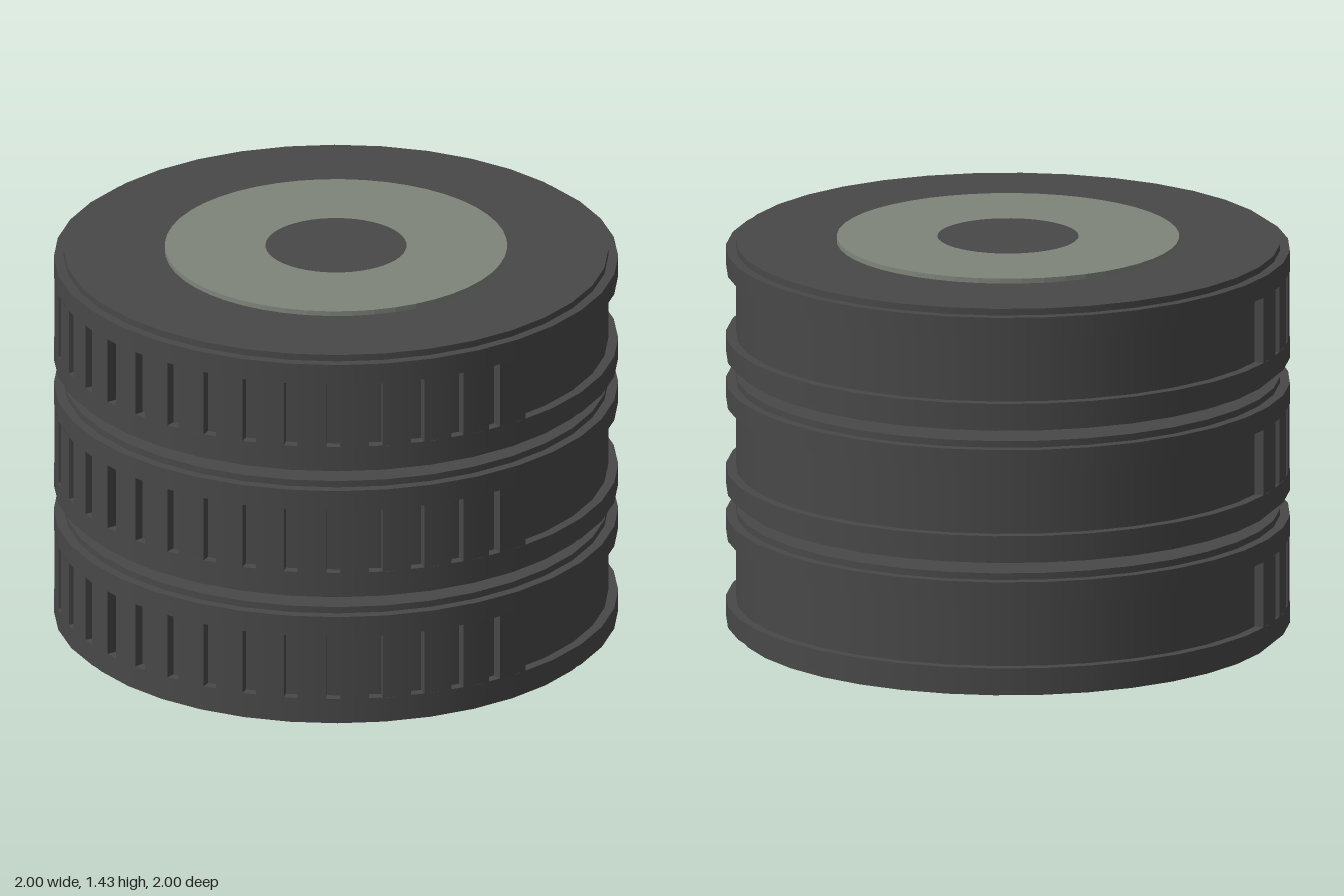
import * as THREE from 'three';

const DEG = Math.PI / 180;
const INNER = 0.965; // body and groove floor radius
const OUTER = 0.998; // grip surface radius

export function createModel() {
  const dark = new THREE.MeshStandardMaterial({ color: 0x484848 });
  dark.name = 'dark rubber';
  const grey = new THREE.MeshStandardMaterial({ color: 0x7f857b });
  grey.name = 'grey green';

  const model = new THREE.Group();
  model.name = 'stackedDials';

  function add(parent, geometry, material, name, y = 0) {
    const mesh = new THREE.Mesh(geometry, material);
    mesh.name = name;
    mesh.position.y = y;
    parent.add(mesh);
    return mesh;
  }

  // Upright disc between two heights
  function drum(parent, radius, y0, y1, name) {
    add(parent, new THREE.CylinderGeometry(radius, radius, y1 - y0, 36), dark, name, (y0 + y1) / 2);
  }

  // Raised pad between two angles, measured from the front: curved face plus two side walls
  function gripPad(parent, a0, a1, y0, y1) {
    const pad = new THREE.Group();
    pad.name = 'gripPad';
    pad.position.y = (y0 + y1) / 2;
    const h = y1 - y0;
    add(pad, new THREE.CylinderGeometry(OUTER, OUTER, h, 2, 1, true, a0 * DEG, (a1 - a0) * DEG), dark, 'gripFace');
    for (const [a, side] of [[a0, -1], [a1, 1]]) {
      const wall = add(pad, new THREE.PlaneGeometry(OUTER - INNER + 0.01, h), dark, 'gripWall');
      const r = (OUTER + INNER - 0.01) / 2;
      wall.position.set(Math.sin(a * DEG) * r, 0, Math.cos(a * DEG) * r);
      wall.rotation.y = a * DEG + side * Math.PI / 2;
    }
    parent.add(pad);
  }

  function createDial() {
    const dial = new THREE.Group();
    dial.name = 'dial';
    drum(dial, INNER, 0, 0.446, 'dialBody');
    drum(dial, 1, 0.03, 0.107, 'lowerRim');
    drum(dial, 1, 0.346, 0.422, 'upperRim');

    // Front grip: 18 slots cut into a band, leaving 19 pads; the back stays recessed
    const pitch = 8.7, halfSlot = 1.4, end = 82;
    let start = -end;
    for (let i = 0; i < 18; i++) {
      const slot = (i - 8.5) * pitch;
      gripPad(dial, start, slot - halfSlot, 0.107, 0.346);
      start = slot + halfSlot;
    }
    gripPad(dial, start, end, 0.107, 0.346);
    return dial;
  }

  // Three separate dials, one above the other
  for (let i = 0; i < 3; i++) {
    const dial = createDial();
    dial.position.y = i * 0.484;
    model.add(dial);
  }

  // Ring and hub on top
  const top = 1.414, height = 0.018;
  const ring = new THREE.LatheGeometry(
    [[0.607, 0], [0.607, height], [0.607, height], [0.25, height]].map(([x, y]) => new THREE.Vector2(x, y)), 48);
  ring.deleteAttribute('normal');
  const ringFlat = ring.toNonIndexed();
  ringFlat.computeVertexNormals();
  const ringMesh = add(model, ringFlat, grey, 'topRing', top);
  ringMesh.material.side = THREE.DoubleSide;
  add(model, new THREE.CylinderGeometry(0.25, 0.25, height, 36), dark, 'topHub', top + height / 2);

  return model;
}
